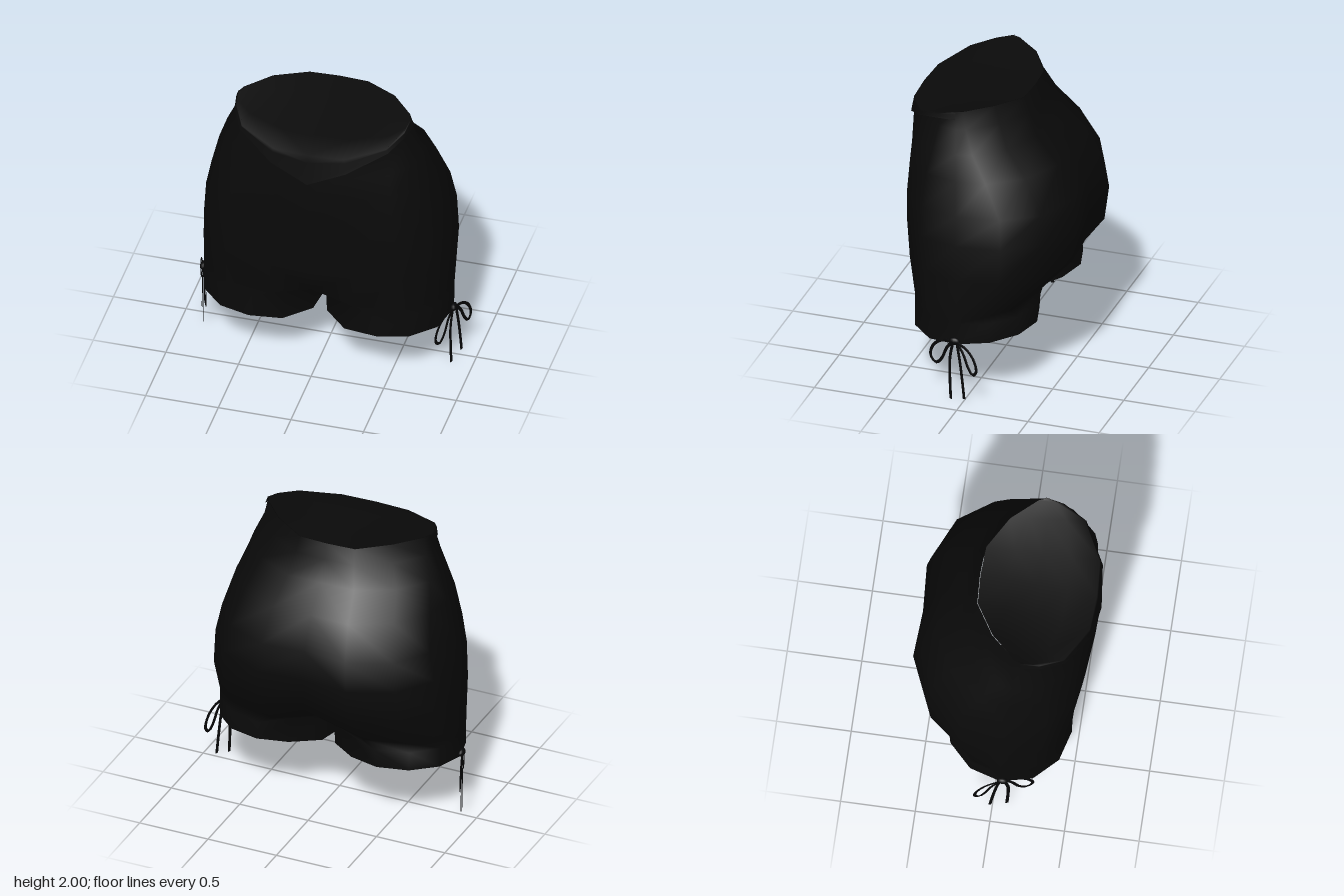
import * as THREE from 'three';
import { mergeGeometries, mergeVertices } from 'three/addons/utils/BufferGeometryUtils.js';

// Half outline from centre front (j = 0) round the side (j = 4) to centre back (j = 8)
const OUT_X = [0, 0.33, 0.7, 0.92, 1, 0.95, 0.75, 0.385, 0];
const OUT_Z = [1, 0.95, 0.85, 0.53, 0, -0.45, -0.8, -1, -0.97];
// The same outline at the waist
const WAIST_X = [0, 0.4, 0.82, 0.96, 1, 0.97, 0.71, 0.34, 0];
const WAIST_Z = [1, 0.97, 0.64, 0.28, 0, -0.13, -0.62, -0.97, -1];
const TOP_Y = [1.88, 1.883, 1.923, 1.967, 2, 2, 2, 1.98, 1.98];

// Torso profile: y, half width, side z, front z, back z, change from waist to hip outline
const ROWS = [
  [2.0, 0.59, 0.15, 0.57, -0.2, 0],
  [1.88, 0.615, 0.14, 0.57, -0.25, 0.1],
  [1.73, 0.682, 0.12, 0.58, -0.31, 0.4],
  [1.56, 0.742, 0.1, 0.592, -0.47, 0.7],
  [1.33, 0.8, 0.08, 0.578, -0.58, 1],
  [1.13, 0.842, 0.07, 0.565, -0.61, 1],
  [0.88, 0.86, 0.06, 0.54, -0.575, 1],
  [0.62, 0.862, 0.05, 0.5, -0.34, 1],
];

function bodyPoint(j, y, grow = 0) {
  let i = 0;
  while (i < ROWS.length - 2 && y < ROWS[i + 1][0]) i++;
  const t = (ROWS[i][0] - y) / (ROWS[i][0] - ROWS[i + 1][0]);
  const [, w, zs, zf, zb, r] = ROWS[i].map((v, k) => v + (ROWS[i + 1][k] - v) * t);
  const ux = THREE.MathUtils.lerp(WAIST_X[j], OUT_X[j], r);
  const uz = THREE.MathUtils.lerp(WAIST_Z[j], OUT_Z[j], r);
  const z = uz >= 0 ? zs + (zf + grow - zs) * uz : zs - (zb - grow - zs) * uz;
  return new THREE.Vector3((w + grow) * ux, y, z);
}

// Skin between successive rings; closed rings wrap round
function skin(rings, closed) {
  const n = rings[0].length, index = [];
  for (let i = 0; i < rings.length - 1; i++) {
    for (let j = 0; j < (closed ? n : n - 1); j++) {
      const k = (j + 1) % n;
      const a = i * n + j, b = i * n + k, c = a + n, d = b + n;
      index.push(a, c, b, b, c, d);
    }
  }
  const geo = new THREE.BufferGeometry().setFromPoints(rings.flat());
  geo.setIndex(index);
  return geo;
}

// Joins half shells with their mirror images and smooths over the seams
function mirrorAndWeld(parts) {
  const all = parts.flatMap((p) => {
    const m = p.clone().scale(-1, 1, 1);
    m.setIndex([...p.index.array].reverse());
    return [p, m];
  });
  const geo = mergeVertices(mergeGeometries(all), 1e-4);
  geo.computeVertexNormals();
  return geo;
}

function shortsGeometry() {
  const cols = OUT_X.map((_, j) => j);
  const torso = ROWS.slice(0, 7).map(([y], i) =>
    cols.map((j) => bodyPoint(j, i === 0 ? TOP_Y[j] : Math.min(y, TOP_Y[j] - 0.02))));

  // Ring where torso and leg meet, raised at the centre front and back
  const split = cols.map((j) => {
    const p = bodyPoint(j, 0.62);
    if (j === 0 || j === 8) p.y = 0.72;
    return p;
  });
  torso.push(split);
  const crotch = [[0.65, -0.16], [0.63, 0.05], [0.65, 0.25]].map(([y, z]) => new THREE.Vector3(0, y, z));
  const legTop = [...split, ...crotch];

  // Leg hem: twelve-sided opening, slightly higher at the back
  const hem = legTop.map((_, j) => {
    const a = (4 - j) * Math.PI / 6;
    const inner = j > 8 || j === 0 ? 1.08 : 1;
    const x = Math.max(0.015, 0.44 + 0.42 * inner * Math.cos(a));
    const z = 0.05 + 0.42 * inner * Math.sin(a);
    const lift = 0.055 * THREE.MathUtils.clamp((0.25 - z) / 0.62, 0, 1);
    return new THREE.Vector3(x, 0.397 + lift, z);
  });
  // Straight leg: nearly the hem outline just below the crotch
  const upper = legTop.map((p, j) => {
    const q = p.clone().lerp(hem[j], 0.85);
    q.y = THREE.MathUtils.lerp(p.y, hem[j].y, 0.25);
    return q;
  });
  return mirrorAndWeld([skin(torso, false), skin([legTop, upper, hem], true)]);
}

// Waist cover that folds over the front rim into a V-shaped panel
function yokeGeometry() {
  const cols = [0, 1, 2, 3, 4];
  const front = cols.map((j) => bodyPoint(j, TOP_Y[j], 0.006));
  const back = cols.map((j) => bodyPoint(8 - j, TOP_Y[8 - j], -0.004));
  const rings = [0, 0.25, 0.5, 0.75].map((t) => back.map((p, j) => p.clone().lerp(front[j], t)));
  rings.push(front);
  for (let i = 1; i <= 4; i++) {
    rings.push(cols.map((j) => {
      const low = Math.min(1.66 + 0.29 * WAIST_X[j], TOP_Y[j] - 0.03);
      const grow = 0.006 + 0.016 * (i / 4) * (1 - OUT_X[j] * 0.6);
      return bodyPoint(j, THREE.MathUtils.lerp(TOP_Y[j], low, i / 4), grow);
    }));
  }
  return mirrorAndWeld([skin(rings, false)]);
}

// Flattened cord through [z, y] points, leaning outward towards the back
function cord(points) {
  const curve = new THREE.CatmullRomCurve3(points.map(([z, y]) => new THREE.Vector3(0, y, z)));
  const geo = new THREE.TubeGeometry(curve, 24, 0.012, 6);
  const p = geo.attributes.position;
  for (let i = 0; i < p.count; i++) {
    p.setX(i, p.getX(i) * 0.25 + 0.865 - 0.38 * (p.getZ(i) - 0.06));
  }
  geo.computeVertexNormals();
  return geo;
}

export function createModel() {
  const fabric = new THREE.MeshStandardMaterial({ color: 0x0a0a0a, side: THREE.DoubleSide });
  fabric.name = 'black fabric';
  const cordBlack = new THREE.MeshStandardMaterial({ color: 0x060607 });
  cordBlack.name = 'cord black';

  const model = new THREE.Group();
  model.name = 'shorts';
  const add = (parent, name, geo, mat) => {
    const mesh = new THREE.Mesh(geo, mat);
    mesh.name = name;
    parent.add(mesh);
    return mesh;
  };
  add(model, 'shortsBody', shortsGeometry(), fabric);
  add(model, 'waistYoke', yokeGeometry(), fabric);

  // Tied bow at each leg hem
  const cords = {
    frontLoop: [[0.07, 0.43], [0.16, 0.415], [0.235, 0.35], [0.257, 0.27], [0.215, 0.23], [0.17, 0.27], [0.125, 0.37], [0.08, 0.43]],
    backLoop: [[0.04, 0.43], [-0.03, 0.41], [-0.09, 0.35], [-0.112, 0.27], [-0.085, 0.235], [-0.045, 0.28], [-0.01, 0.36], [0.04, 0.43]],
    frontTail: [[0.075, 0.43], [0.1, 0.3], [0.1, 0.15], [0.093, 0]],
    backTail: [[0.045, 0.43], [0.02, 0.3], [0, 0.16], [-0.015, 0.035]],
  };
  for (const side of [1, -1]) {
    const bow = new THREE.Group();
    bow.name = side > 0 ? 'leftBow' : 'rightBow';
    for (const [name, pts] of Object.entries(cords)) add(bow, name, cord(pts), cordBlack);
    const knot = add(bow, 'knot', new THREE.SphereGeometry(0.03, 10, 8), cordBlack);
    knot.scale.set(0.75, 0.9, 1.3);
    knot.position.set(0.862, 0.437, 0.065);
    bow.scale.x = side;
    model.add(bow);
  }
  return model;
}
